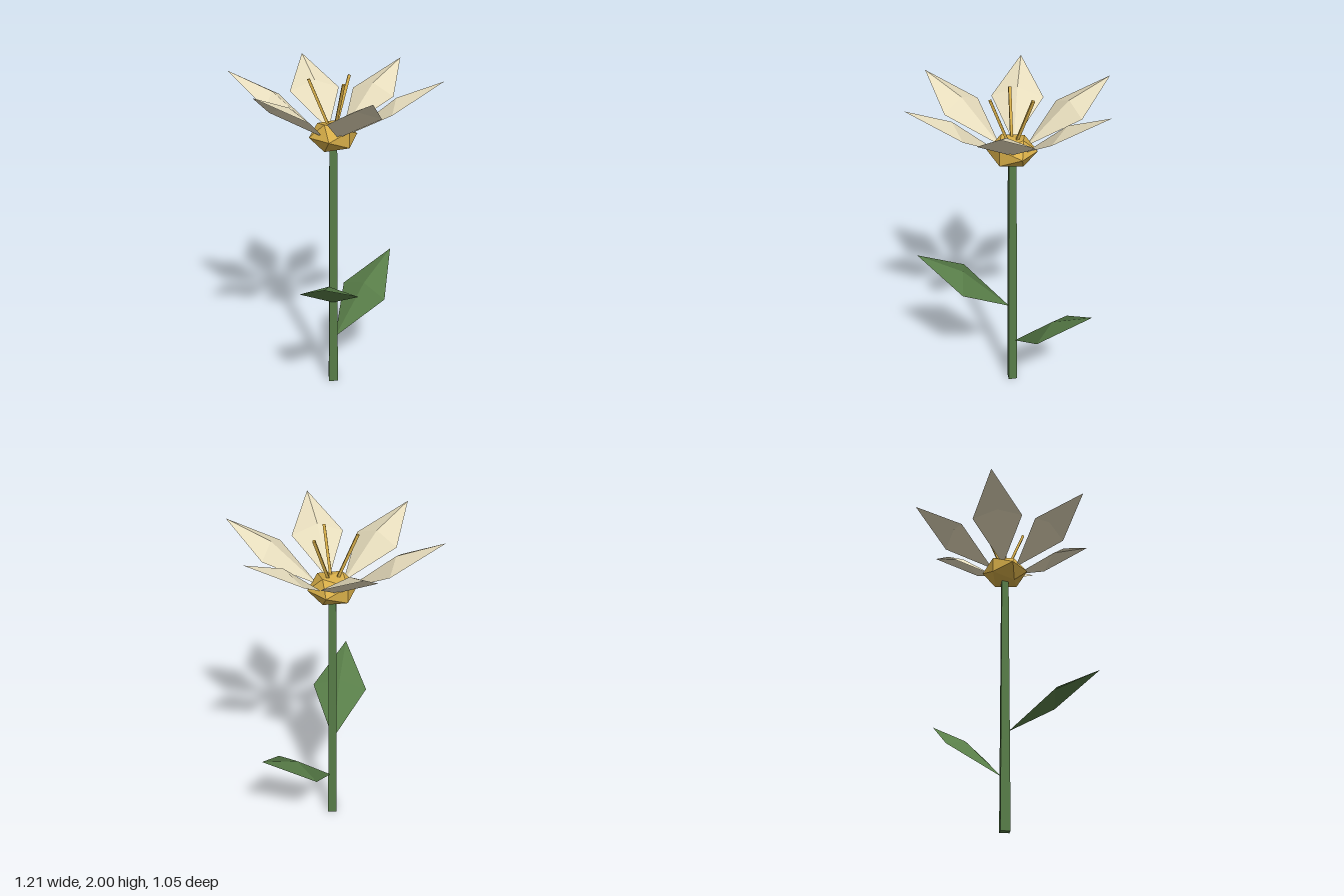
import * as THREE from 'three';

const green = new THREE.MeshStandardMaterial({ color: 0x587d48, flatShading: true, side: THREE.DoubleSide });
green.name = 'leaf green';
const cream = new THREE.MeshStandardMaterial({ color: 0xe6dcbc, flatShading: true, side: THREE.DoubleSide });
cream.name = 'petal cream';
const gold = new THREE.MeshStandardMaterial({ color: 0xd6ad48, flatShading: true });
gold.name = 'pollen gold';

// Folded diamond sheet running outward along +x, with a raised centre ridge.
function blade(name, material, { base, mid, tip, halfWidth, ridge }) {
  const b = [base[0], base[1], 0];
  const t = [tip[0], tip[1], 0];
  const r = [mid[0], mid[1] + ridge, 0];
  const front = [mid[0], mid[1], halfWidth];
  const back = [mid[0], mid[1], -halfWidth];
  const faces = [b, front, r, b, r, back, r, front, t, r, t, back];
  const geometry = new THREE.BufferGeometry();
  geometry.setAttribute('position', new THREE.Float32BufferAttribute(faces.flat(), 3));
  geometry.computeVertexNormals();
  const mesh = new THREE.Mesh(geometry, material);
  mesh.name = name;
  return mesh;
}

// Thin square rod between two points.
function rod(name, material, from, to, radius) {
  const along = to.clone().sub(from);
  const mesh = new THREE.Mesh(new THREE.CylinderGeometry(radius, radius, along.length(), 4), material);
  mesh.position.copy(from).add(to).multiplyScalar(0.5);
  mesh.quaternion.setFromUnitVectors(new THREE.Vector3(0, 1, 0), along.normalize());
  mesh.name = name;
  return mesh;
}

export function createModel() {
  const flower = new THREE.Group();
  flower.name = 'flower';

  // Tapered square stem
  const stem = new THREE.Mesh(new THREE.CylinderGeometry(0.03, 0.04, 1.62, 4), green);
  stem.name = 'stem';
  stem.position.y = 0.81;
  flower.add(stem);

  // Two leaves at different heights
  const lowerLeaf = blade('lowerLeaf', green, {
    base: [0.02, 0.315], mid: [0.3, 0.53], tip: [0.57, 0.74], halfWidth: 0.172, ridge: 0.06,
  });
  const upperLeaf = blade('upperLeaf', green, {
    base: [0.02, 0.585], mid: [0.3, 0.79], tip: [0.572, 0.975], halfWidth: 0.172, ridge: 0.06,
  });
  upperLeaf.rotation.y = -Math.PI + 0.64;
  flower.add(lowerLeaf, upperLeaf);

  // Faceted flower centre
  const centre = new THREE.Mesh(new THREE.IcosahedronGeometry(0.143, 0), gold);
  centre.name = 'flowerCentre';
  centre.scale.y = 0.65;
  centre.position.y = 1.66;
  flower.add(centre);

  // Ring of six petals
  const petals = new THREE.Group();
  petals.name = 'petals';
  for (let i = 0; i < 6; i++) {
    const petal = blade('petal', cream, {
      base: [0.085, 1.67], mid: [0.35, 1.84], tip: [0.606, 2], halfWidth: 0.152, ridge: 0.056,
    });
    petal.rotation.y = (i * Math.PI) / 3;
    petals.add(petal);
  }
  flower.add(petals);

  // Three stamens leaning outward
  for (const angle of [0, 2, 4]) {
    const at = (r, y) => new THREE.Vector3(r * Math.cos(angle), y, r * Math.sin(angle));
    flower.add(rod('stamen', gold, at(0.02, 1.7), at(0.136, 1.982), 0.011));
  }

  return flower;
}
